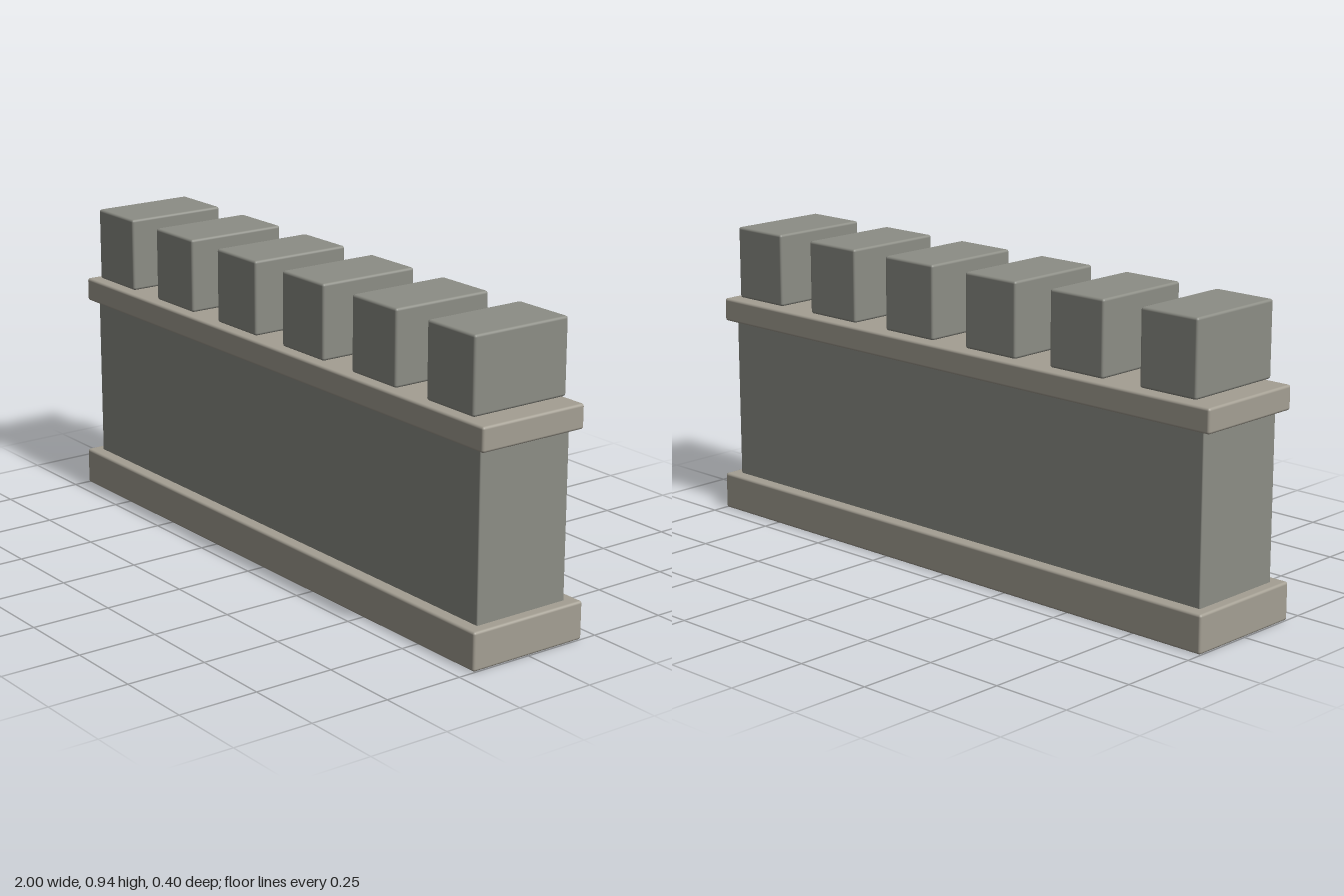
import * as THREE from 'three';
import { RoundedBoxGeometry } from 'three/addons/geometries/RoundedBoxGeometry.js';

export function createModel() {
  const wall = new THREE.Group();
  wall.name = 'battlementWall';
  const stone = new THREE.MeshStandardMaterial({ color: 0x8c8d85 });
  const trim = new THREE.MeshStandardMaterial({ color: 0xa49f93 });

  // Softly bevelled block spanning bottom..top
  function block(name, material, width, depth, bottom, top, bevel, x = 0) {
    const geometry = new RoundedBoxGeometry(width, top - bottom, depth, 2, bevel);
    const mesh = new THREE.Mesh(geometry, material);
    mesh.name = name;
    mesh.position.set(x, (bottom + top) / 2, 0);
    wall.add(mesh);
  }

  // Plinth, wall body and coping
  block('base', trim, 2, 0.398, 0, 0.117, 0.008);
  block('wallBody', stone, 1.93, 0.32, 0.002, 0.65, 0.004);
  block('coping', trim, 2, 0.365, 0.628, 0.702, 0.008);

  // Row of evenly spaced merlons, set just above the coping
  const count = 6;
  const spacing = 0.336;
  for (let i = 0; i < count; i++) {
    const x = (i - (count - 1) / 2) * spacing;
    block(`merlon${i + 1}`, stone, 0.202, 0.334, 0.711, 0.941, 0.008, x);
  }
  return wall;
}
